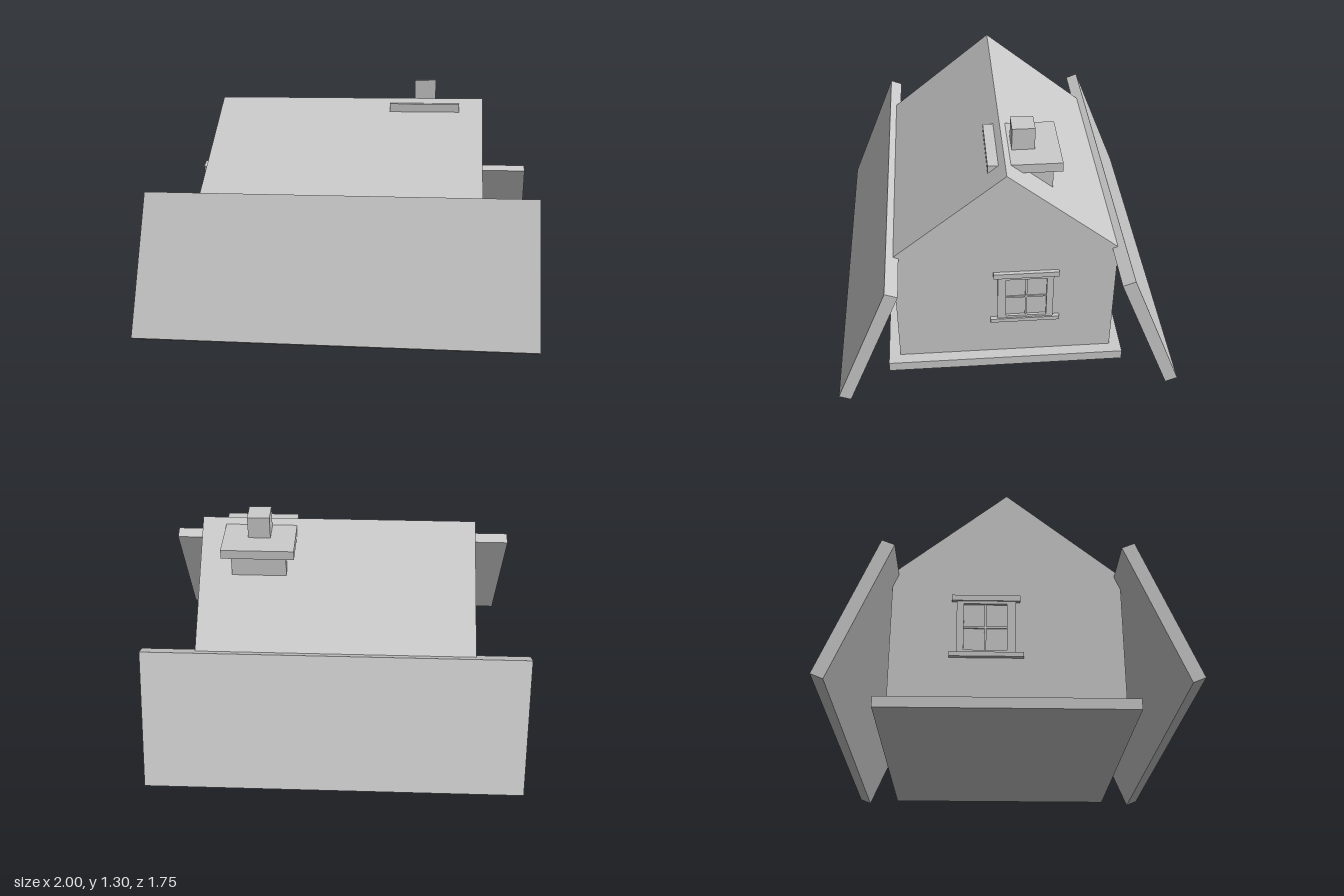
import * as THREE from 'three';

export function createModel() {
  const house = new THREE.Group();
  house.name = 'house';
  const stone = new THREE.MeshStandardMaterial({ color: 0xcccccc });
  stone.name = 'plain grey';

  // Box given by its minimum and maximum corners
  function box(parent, name, [x0, y0, z0], [x1, y1, z1]) {
    const mesh = new THREE.Mesh(new THREE.BoxGeometry(x1 - x0, y1 - y0, z1 - z0), stone);
    mesh.position.set((x0 + x1) / 2, (y0 + y1) / 2, (z0 + z1) / 2);
    mesh.name = name;
    parent.add(mesh);
    return mesh;
  }

  // Prism along x from a (z, y) outline
  function prism(name, outline, halfLength) {
    const shape = new THREE.Shape(outline.map(([z, y]) => new THREE.Vector2(-z, y)));
    const geometry = new THREE.ExtrudeGeometry(shape, { depth: halfLength * 2, bevelEnabled: false });
    geometry.translate(0, 0, -halfLength).rotateY(Math.PI / 2);
    const mesh = new THREE.Mesh(geometry, stone);
    mesh.name = name;
    house.add(mesh);
  }

  // Foundation and gabled body
  box(house, 'foundation', [-0.78, 0, -0.625], [0.78, 0.055, 0.625]);
  prism('gabledBody', [[0.565, 0.05], [-0.565, 0.05], [-0.565, 0.74], [0, 1.205], [0.565, 0.74]], 0.72);

  // Loose roof panels leaning against the eaves
  for (const s of [1, -1]) {
    prism(s > 0 ? 'frontRoofPanel' : 'backRoofPanel',
      [[0.597 * s, 0.757], [0.535 * s, 0.732], [0.815 * s, 0.043], [0.875 * s, 0.068]], 1);
  }

  // Chimney: stack, slab and pot
  const chimney = new THREE.Group();
  chimney.name = 'chimney';
  box(chimney, 'stack', [0.265, 0.9, -0.245], [0.55, 1.13, 0.045]);
  box(chimney, 'slab', [0.22, 1.13, -0.285], [0.595, 1.18, 0.083]);
  box(chimney, 'pot', [0.35, 1.18, -0.16], [0.465, 1.3, -0.045]);
  house.add(chimney);

  // Gable windows: jambs, lintel, sill and glazing bars
  for (const s of [1, -1]) {
    const win = new THREE.Group();
    win.name = s > 0 ? 'leftWindow' : 'rightWindow';
    const piece = (name, y0, y1, z0, z1, depth) =>
      box(win, name, [s > 0 ? 0.71 : -0.72 - depth, y0, z0], [s > 0 ? 0.72 + depth : -0.71, y1, z1]);
    piece('lintel', 0.58, 0.61, -0.27, 0.065, 0.02);
    piece('sill', 0.28, 0.303, -0.28, 0.08, 0.022);
    piece('frontJamb', 0.303, 0.58, 0, 0.043, 0.014);
    piece('backJamb', 0.303, 0.58, -0.245, -0.21, 0.014);
    piece('topRail', 0.565, 0.58, -0.21, 0, 0.014);
    piece('bottomRail', 0.303, 0.316, -0.21, 0, 0.014);
    piece('uprightBar', 0.316, 0.565, -0.11, -0.1, 0.006);
    piece('crossBar', 0.435, 0.445, -0.21, 0, 0.006);
    house.add(win);
  }

  // Front door with planks and an upper light
  const door = new THREE.Group();
  door.name = 'frontDoor';
  for (const s of [1, -1]) {
    box(door, 'doorJamb', [s * 0.16 - 0.015, 0.055, 0.56], [s * 0.16 + 0.015, 0.6, 0.58]);
  }
  box(door, 'doorLintel', [-0.175, 0.6, 0.56], [0.175, 0.63, 0.58]);
  box(door, 'lowerLeaf', [-0.145, 0.055, 0.56], [0.145, 0.365, 0.584]);
  box(door, 'upperLeaf', [-0.145, 0.365, 0.56], [0.145, 0.6, 0.574]);
  for (const y of [0.08, 0.135, 0.19, 0.245]) {
    box(door, 'doorBatten', [-0.11, y - 0.008, 0.58], [0.11, y + 0.008, 0.59]);
  }
  house.add(door);

  return house;
}
